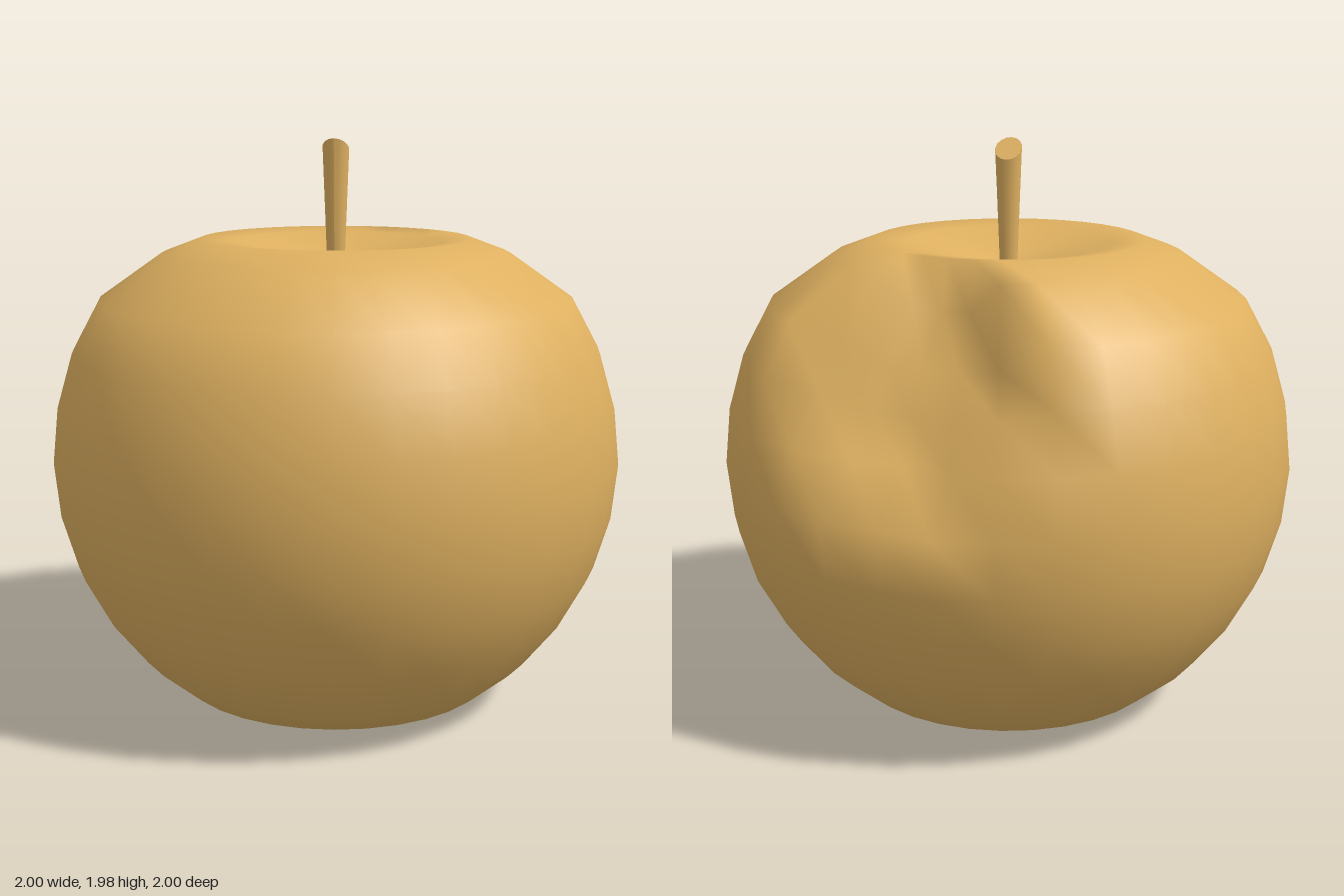
import * as THREE from 'three';
import { mergeVertices } from 'three/addons/utils/BufferGeometryUtils.js';

const SEGMENTS = 32;
const CENTRE_Y = 0.88;

// Half profile of the fruit, from the bottom hollow up to the stem hole
const PROFILE = [
  [0, 0.11], [0.14, 0.1], [0.27, 0.06], [0.38, 0.005], [0.56, 0.05], [0.71, 0.175],
  [0.83, 0.325], [0.925, 0.5], [0.98, 0.685], [1, 0.88], [0.98, 1.075], [0.925, 1.265],
  [0.83, 1.44], [0.61, 1.595], [0.47, 1.648], [0.37, 1.635], [0.2, 1.585], [0.1, 1.56],
  [0.055, 1.53], [0.03, 1.42], [0, 1.4],
];

// Bite: how far each profile ring is drawn towards the core,
// for the meridians one step right of the back centre to three steps left
const BITE = {
  9: [1, 1, 0.97, 1, 1],
  10: [1, 0.8, 0.8, 0.86, 0.95],
  11: [0.82, 0.77, 0.77, 0.79, 0.88],
  12: [0.82, 0.77, 0.77, 0.79, 0.87],
  13: [1, 0.84, 0.83, 0.86, 1],
};

function createFruit(material) {
  let geometry = new THREE.LatheGeometry(PROFILE.map(([r, y]) => new THREE.Vector2(r, y)), SEGMENTS);
  const position = geometry.attributes.position;
  for (const [ring, pulls] of Object.entries(BITE)) {
    pulls.forEach((pull, k) => {
      const meridian = SEGMENTS / 2 + 1 - k;
      const i = meridian * PROFILE.length + Number(ring);
      position.setXYZ(
        i,
        position.getX(i) * pull,
        CENTRE_Y + (position.getY(i) - CENTRE_Y) * pull,
        position.getZ(i) * pull
      );
    });
  }
  // Weld the seam so the skin shades smoothly all round
  geometry.deleteAttribute('uv');
  geometry.deleteAttribute('normal');
  geometry = mergeVertices(geometry, 1e-4);
  geometry.computeVertexNormals();
  const fruit = new THREE.Mesh(geometry, material);
  fruit.name = 'bittenFruit';
  return fruit;
}

function createStem(material) {
  const bottom = 1.4, top = 1.955;
  const geometry = new THREE.CylinderGeometry(0.047, 0.025, top - bottom, 16, 4);
  geometry.translate(0, (top + bottom) / 2, 0);
  const position = geometry.attributes.position;
  // Slightly oval, with a slanted cut at the tip
  for (let i = 0; i < position.count; i++) {
    const z = position.getZ(i) * 0.78;
    position.setZ(i, z + 0.003);
    if (position.getY(i) > top - 0.01) position.setY(i, top + z * 0.95);
  }
  geometry.computeVertexNormals();
  const stem = new THREE.Mesh(geometry, material);
  stem.name = 'stem';
  return stem;
}

export function createModel() {
  const material = new THREE.MeshStandardMaterial({ color: 0xdeb060 });
  const apple = new THREE.Group();
  apple.name = 'apple';
  apple.add(createFruit(material), createStem(material));
  return apple;
}
